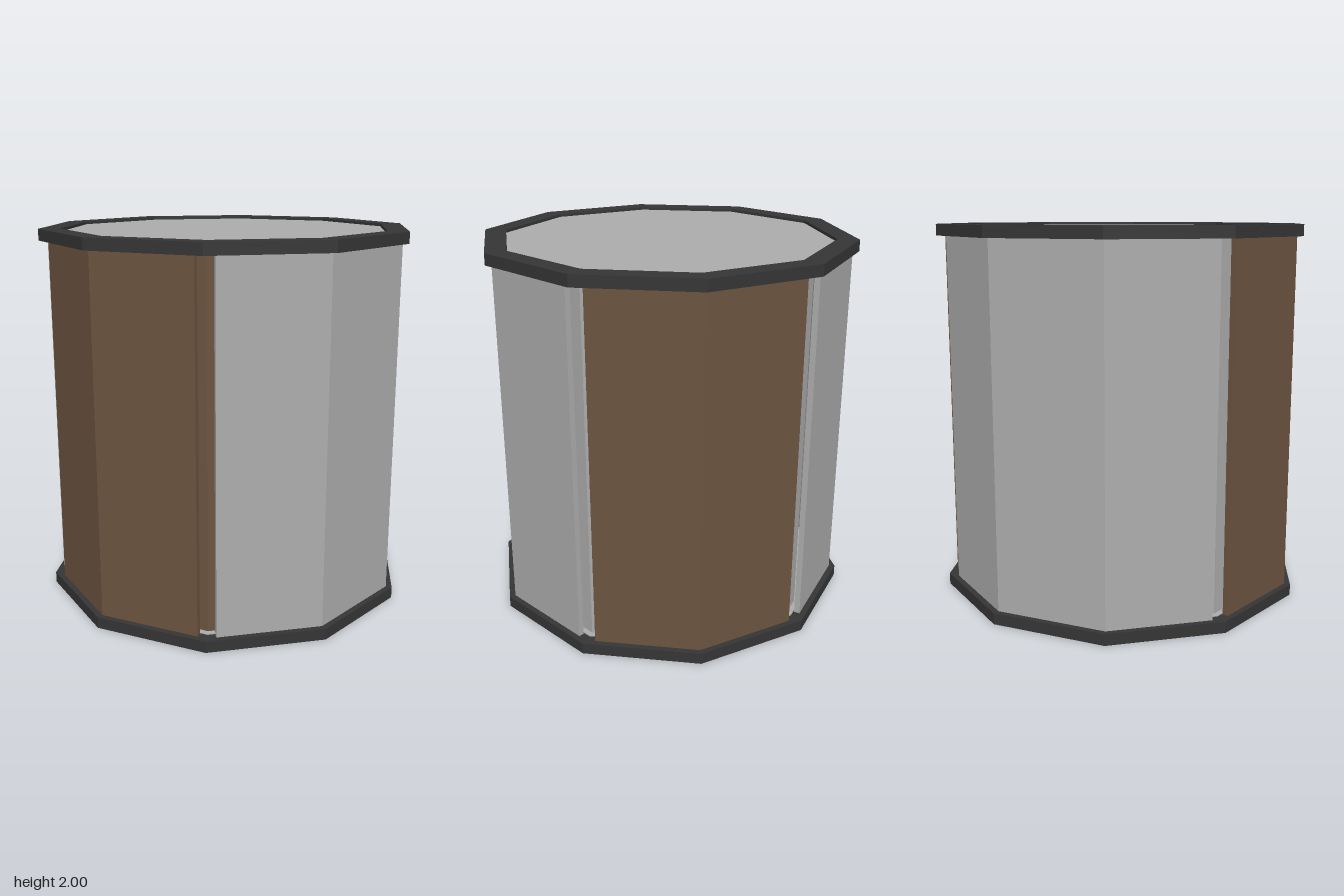
import * as THREE from 'three';

const STEP = Math.PI / 5;          // ten-sided plan, a corner on the +z axis
const corner = (i, r) => new THREE.Vector2(Math.sin(i * STEP) * r, Math.cos(i * STEP) * r);

const material = (name, color) => {
  const m = new THREE.MeshStandardMaterial({ color });
  m.name = name;
  return m;
};

// Extrude a plan outline of (x, z) points upward from y0 to y1
function slab(points, y0, y1, hole) {
  const flip = (pts) => pts.map((p) => new THREE.Vector2(p.x, -p.y));
  const shape = new THREE.Shape(flip(points));
  if (hole) shape.holes.push(new THREE.Path(flip(hole)));
  const geo = new THREE.ExtrudeGeometry(shape, { depth: y1 - y0, bevelEnabled: false });
  return geo.rotateX(-Math.PI / 2).translate(0, y0, 0);
}

const decagon = (r) => Array.from({ length: 10 }, (_, i) => corner(i, r));

// Folded wall following corners first..last, both ends cut short by trim
function wall(first, last, r, thick, trim, y0, y1) {
  const outer = [], inner = [];
  const rIn = r - thick / Math.cos(STEP / 2);
  for (let i = first; i <= last; i++) {
    const p = corner(i, r);
    const end = i === first ? 1 : i === last ? -1 : 0;
    if (end) {
      const along = corner(i + end, r).sub(p).normalize();
      p.addScaledVector(along, trim);
      outer.push(p);
      inner.push(p.clone().addScaledVector(corner(i + end / 2, 1), -thick));
    } else {
      outer.push(p);
      inner.push(corner(i, rIn));
    }
  }
  return slab([...outer, ...inner.reverse()], y0, y1);
}

export function createModel() {
  const group = new THREE.Group();
  const grey = material('light grey', 0xacacac);
  const brown = material('brown', 0x6c543f);
  const dark = material('charcoal', 0x353535);

  const add = (name, geo, mat) => {
    const mesh = new THREE.Mesh(geo, mat);
    mesh.name = name;
    group.add(mesh);
  };

  // Dark rims and the plates set just inside them
  add('bottomRim', slab(decagon(1), 0, 0.06, decagon(0.885)), dark);
  add('topRim', slab(decagon(1), 1.94, 2, decagon(0.885)), dark);
  add('floorPlate', slab(decagon(0.884), 0.015, 0.062), grey);
  add('floorEdge', slab(decagon(0.93), 0.06, 0.064), grey);
  add('roofPlate', slab(decagon(0.884), 1.938, 1.985), grey);

  // Two fixed walls of three faces, two doors of two faces
  const R = 0.967, y0 = 0.06, y1 = 1.94;
  for (const turn of [0, 5]) {
    const side = turn ? 'right' : 'left';
    add(side + 'Wall', wall(turn, turn + 3, R, 0.03, 0.05, y0, y1), grey);
    add(turn ? 'frontDoor' : 'backDoor', wall(turn + 3, turn + 5, R, 0.03, 0.05, y0, y1), brown);
  }

  // Recessed folded posts behind the open seams
  for (const seam of [0, 3, 5, 8]) {
    add('seamPost', wall(seam - 1, seam + 1, 0.9, 0.03, 0.43, y0, y1), seam === 0 ? brown : grey);
  }
  return group;
}
